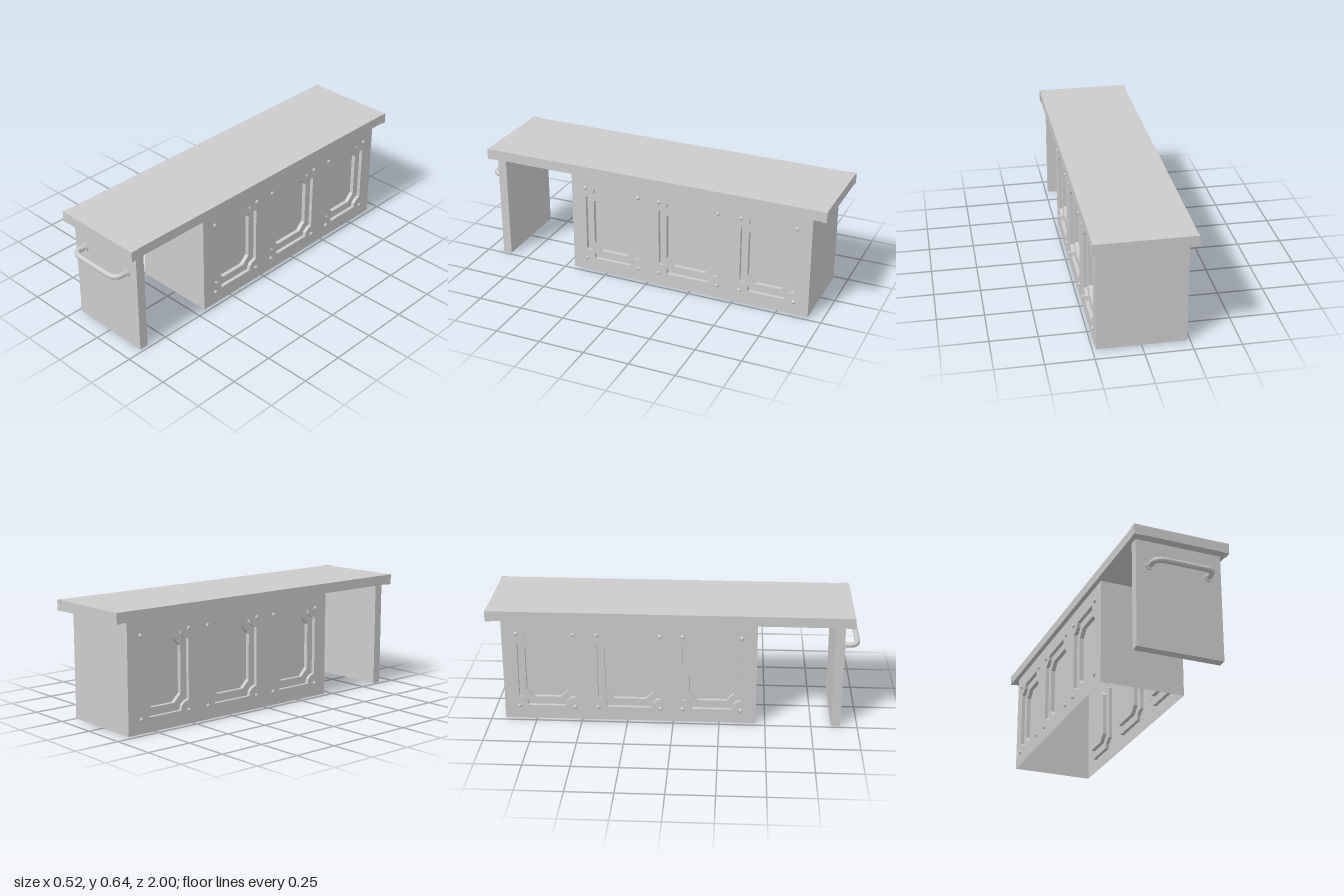
import * as THREE from 'three';

const mat = new THREE.MeshStandardMaterial({ color: 0xcccccc });
const sheetMat = new THREE.MeshStandardMaterial({ color: 0xcccccc, side: THREE.DoubleSide, flatShading: true });
const flatMat = new THREE.MeshStandardMaterial({ color: 0xcccccc, flatShading: true });

const TOP = 0.59, HALF = 0.233, BODY_FRONT = 0.448, BODY_BACK = -0.922;
const PANELS = [[0.366, 0.05], [-0.07, -0.41], [-0.537, -0.842]]; // z ranges
const PANEL_Y = [0.083, 0.505];

function add(parent, name, geometry, material, x = 0, y = 0, z = 0) {
  const mesh = new THREE.Mesh(geometry, material);
  mesh.name = name;
  mesh.position.set(x, y, z);
  parent.add(mesh);
  return mesh;
}

// Rectangle outline whose four corners are cut by the same list of [inset along x, inset along y]
function cutRect(x0, x1, y0, y1, cut) {
  const back = [...cut].reverse();
  return [
    ...cut.map(([a, b]) => [x0 + a, y0 + b]),
    ...back.map(([a, b]) => [x1 - a, y0 + b]),
    ...cut.map(([a, b]) => [x1 - a, y1 - b]),
    ...back.map(([a, b]) => [x0 + a, y1 - b]),
  ].map(([x, y]) => new THREE.Vector2(x, y));
}

// Flat sheet with holes
function sheet(outline, holes) {
  const shape = new THREE.Shape(outline);
  holes.forEach(h => shape.holes.push(new THREE.Path(h)));
  return new THREE.ShapeGeometry(shape);
}

// Recess wall following an outline between two depths
function rim(outline, z0, z1) {
  const pos = [];
  outline.forEach((p, i) => {
    const q = outline[(i + 1) % outline.length];
    pos.push(p.x, p.y, z0, q.x, q.y, z0, q.x, q.y, z1);
    pos.push(p.x, p.y, z0, q.x, q.y, z1, p.x, p.y, z1);
  });
  const g = new THREE.BufferGeometry();
  g.setAttribute('position', new THREE.Float32BufferAttribute(pos, 3));
  g.computeVertexNormals();
  return g;
}

// Long cabinet side with three stepped recesses and corner studs
function cabinetSide(side) {
  const group = new THREE.Group();
  group.name = side > 0 ? 'leftCabinetSide' : 'rightCabinetSide';
  const span = (a, b) => [-side * a, -side * b].sort((p, q) => p - q);
  const d1 = -0.02, d2 = -0.043;
  const notch = [[0, 0.052], [0.024, 0.044], [0.044, 0.026], [0.05, 0]];
  const chamfer = [[0, 0.042], [0.042, 0]];
  const outers = [];
  PANELS.forEach(([a, b]) => {
    const [u0, u1] = span(a, b), [v0, v1] = PANEL_Y;
    const outer = cutRect(u0, u1, v0, v1, notch);
    const inner = cutRect(u0 + 0.038, u1 - 0.038, v0 + 0.043, v1 - 0.043, chamfer);
    outers.push(outer);
    add(group, 'outerRecessRim', rim(outer, d1, 0), sheetMat);
    add(group, 'recessFrame', sheet(outer, [inner]), sheetMat, 0, 0, d1);
    add(group, 'innerRecessRim', rim(inner, d2, d1), sheetMat);
    add(group, 'recessPanel', sheet(inner, []), sheetMat, 0, 0, d2);
    for (const u of [u0, u1]) for (const v of [v0 - 0.003, v1 + 0.003]) {
      const stud = new THREE.CylinderGeometry(0.006, 0.011, 0.005, 8).translate(0, 0.0075, 0);
      add(group, 'studCap', stud.rotateX(Math.PI / 2), flatMat, u, v);
      const base = new THREE.CylinderGeometry(0.011, 0.011, 0.006, 8, 1, true).translate(0, 0.002, 0);
      add(group, 'studBase', base.rotateX(Math.PI / 2), flatMat, u, v);
    }
  });
  const [w0, w1] = span(BODY_FRONT, BODY_BACK);
  const wall = cutRect(w0, w1, 0.005, TOP, [[0, 0]]);
  add(group, 'sideWall', sheet(wall, outers), sheetMat);
  group.position.x = side * HALF;
  group.rotation.y = side * Math.PI / 2;
  return group;
}

export function createModel() {
  const model = new THREE.Group();
  model.name = 'desk';

  // Worktop with triangular corner guards
  add(model, 'worktop', new THREE.BoxGeometry(0.516, 0.055, 1.955), mat, 0, 0.6155, -0.0205);
  for (const sx of [-1, 1]) for (const [z, sz, leg] of [[0.957, 1, 0.044], [-1, -1, 0.028]]) {
    const tri = new THREE.Shape([[0, 0], [-sx * leg, 0], [0, -sz * leg]].map(p => new THREE.Vector2(p[0], -p[1])));
    const g = new THREE.ExtrudeGeometry(tri, { depth: 0.058, bevelEnabled: false }).rotateX(-Math.PI / 2);
    add(model, 'cornerGuard', g, mat, sx * 0.261, 0.586, z);
  }

  // Cabinet shell, open underneath
  model.add(cabinetSide(1), cabinetSide(-1));
  for (const [name, z, turn] of [['cabinetFront', BODY_FRONT, 0], ['cabinetBack', BODY_BACK, Math.PI]]) {
    const g = new THREE.PlaneGeometry(HALF * 2, TOP - 0.005).rotateY(turn);
    add(model, name, g, sheetMat, 0, (TOP + 0.005) / 2, z);
  }

  // Front leg panel
  add(model, 'frontLegPanel', new THREE.BoxGeometry(HALF * 2, TOP, 0.05), mat, 0, TOP / 2, 0.884);

  // Bent bar handle with round mounting plates
  const V = (x, z) => new THREE.Vector3(x, 0, z);
  const path = new THREE.CurvePath();
  path.add(new THREE.LineCurve3(V(-0.16, 0.905), V(-0.16, 0.94)));
  path.add(new THREE.QuadraticBezierCurve3(V(-0.16, 0.94), V(-0.16, 0.985), V(-0.105, 0.985)));
  path.add(new THREE.LineCurve3(V(-0.105, 0.985), V(0.105, 0.985)));
  path.add(new THREE.QuadraticBezierCurve3(V(0.105, 0.985), V(0.16, 0.985), V(0.16, 0.94)));
  path.add(new THREE.LineCurve3(V(0.16, 0.94), V(0.16, 0.905)));
  add(model, 'handleBar', new THREE.TubeGeometry(path, 60, 0.015, 16), mat, 0, 0.452, 0);
  for (const sx of [-1, 1]) {
    const plate = new THREE.CylinderGeometry(0.024, 0.024, 0.012, 24).rotateX(Math.PI / 2);
    add(model, 'handlePlate', plate, mat, sx * 0.16, 0.452, 0.912);
  }
  return model;
}
